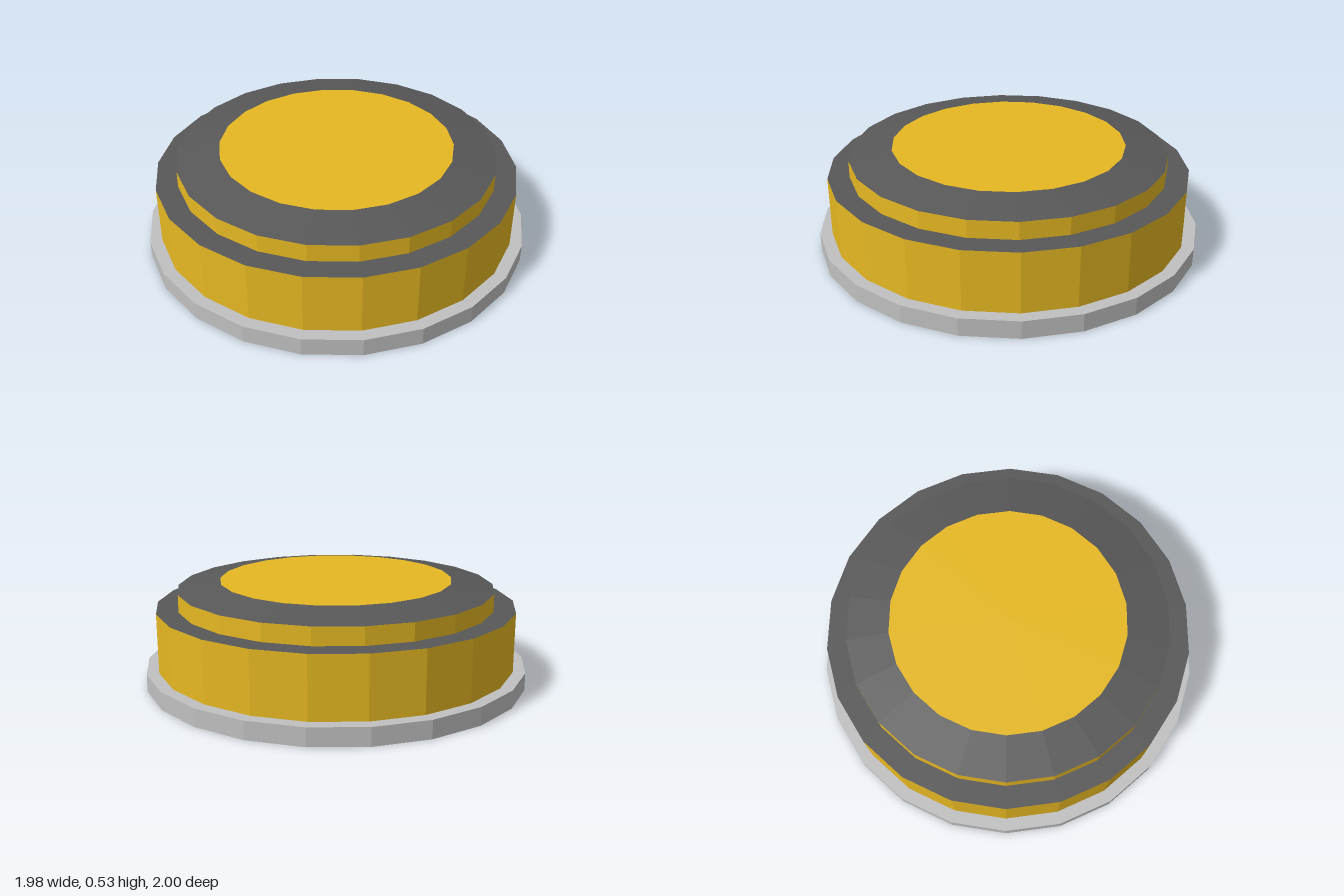
import * as THREE from 'three';

const SIDES = 22;

function paint(name, color) {
  const material = new THREE.MeshStandardMaterial({ color, flatShading: true });
  material.name = name;
  return material;
}

export function createModel() {
  const gold = paint('gold', 0xe6b822);
  const silver = paint('silver grey', 0xc0c0c0);
  const dark = paint('dark grey', 0x585858);
  const model = new THREE.Group();
  model.name = 'roundCap';

  // One faceted disc from y0 to y1; materials are [side, top, bottom]
  function addTier(name, bottomRadius, topRadius, y0, y1, materials) {
    const geometry = new THREE.CylinderGeometry(topRadius, bottomRadius, y1 - y0, SIDES);
    const mesh = new THREE.Mesh(geometry, materials);
    mesh.name = name;
    mesh.position.y = (y0 + y1) / 2;
    model.add(mesh);
  }

  // Wide foot
  addTier('baseFlange', 1, 1, 0, 0.092, [silver, silver, silver]);
  // Main drum with a dark ledge on top
  addTier('drum', 0.937, 0.937, 0.092, 0.402, [gold, dark, gold]);
  // Narrower upper step
  addTier('upperStep', 0.825, 0.825, 0.402, 0.492, [gold, dark, gold]);
  // Dark sloping rim around the flat gold top
  addTier('bevelledLid', 0.825, 0.605, 0.492, 0.53, [dark, gold, dark]);

  return model;
}
